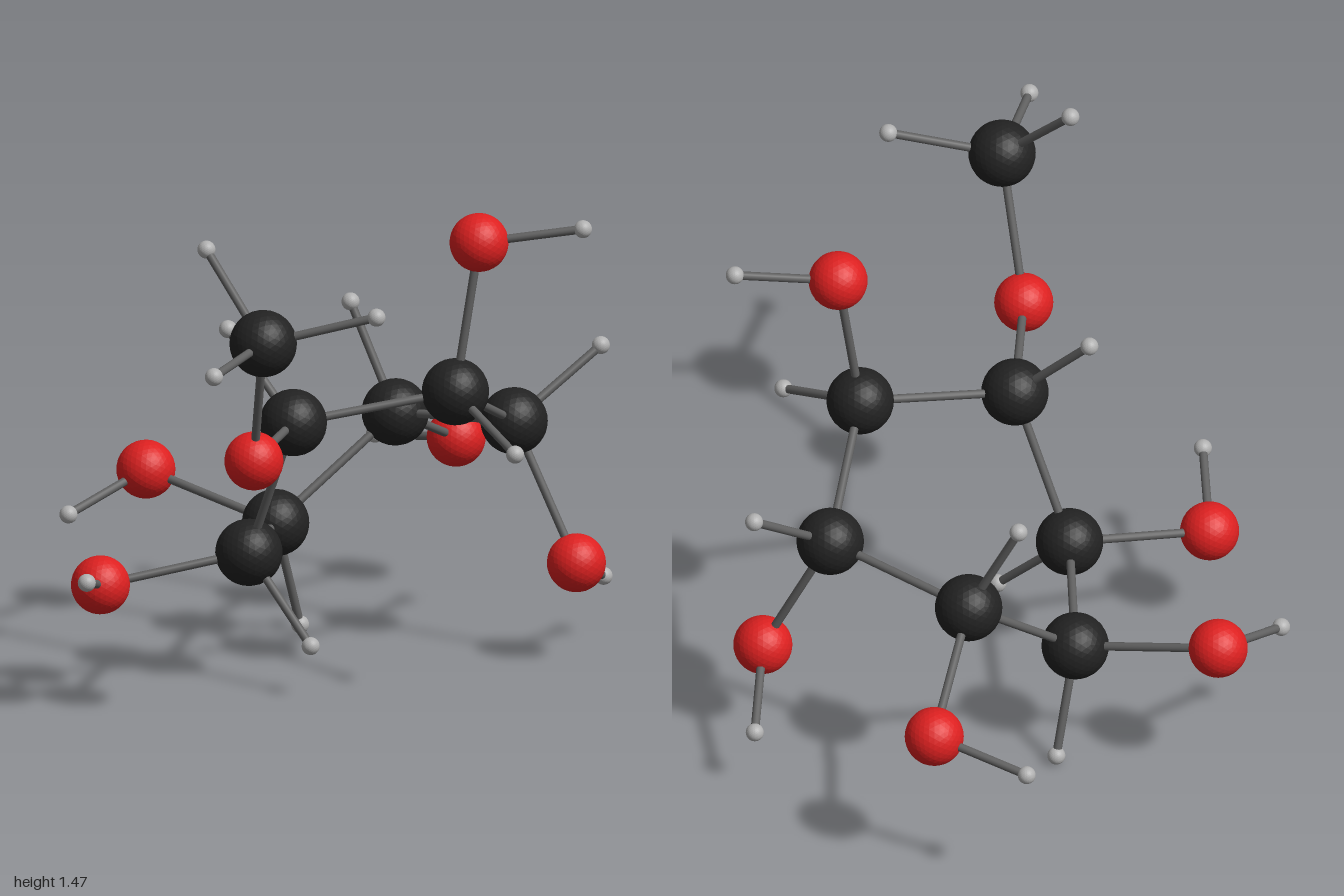
import * as THREE from 'three';

// Atom kinds: radius and colour
const KINDS = {
  carbon: { radius: 0.097, color: 0x222222 },
  oxygen: { radius: 0.085, color: 0xdd2020 },
  hydrogen: { radius: 0.026, color: 0xb0b0b0 },
};
const BOND_RADIUS = 0.0125;

// Six ring carbons in order, each with its hydrogen, its oxygen and what the oxygen carries
const RING = [
  { c: [-0.22, 0.82, 0.195], h: [-0.34, 1.057, -0.015], o: [-0.483, 0.823, 0.56], methyl: true },
  { c: [0.237, 0.895, 0.305], h: [0.3, 0.78, 0.617], o: [0.306, 1.335, 0.315], oh: [0.577, 1.38, 0.442] },
  { c: [0.54, 0.7, -0.01], h: [0.82, 0.89, -0.042], o: [0.674, 0.302, 0.14], oh: [0.845, 0.19, -0.085] },
  { c: [0.338, 0.64, -0.433], h: [0.25, 0.945, -0.562], o: [0.635, 0.465, -0.715], oh: [0.485, 0.425, -0.974] },
  { c: [-0.04, 0.353, -0.41], h: [0.053, 0.03, -0.455], o: [-0.304, 0.45, -0.76], oh: [-0.58, 0.366, -0.664] },
  { c: [-0.28, 0.39, -0.003], h: [-0.175, 0.156, 0.217], o: [-0.707, 0.315, -0.082], oh: [-0.85, 0.4, 0.178] },
];

// Methyl group: carbon and three hydrogens
const METHYL = {
  c: [-0.525, 1.222, 0.742],
  h: [[-0.61, 1.452, 0.51], [-0.236, 1.31, 0.897], [-0.768, 1.205, 0.977]],
};

export function createModel() {
  const model = new THREE.Group();
  model.name = 'molecule';

  const ball = new THREE.IcosahedronGeometry(1, 5);
  const rod = new THREE.CylinderGeometry(BOND_RADIUS, BOND_RADIUS, 1, 16);
  const bondMaterial = new THREE.MeshStandardMaterial({ color: 0x606060 });
  const materials = {};
  for (const kind in KINDS) {
    materials[kind] = new THREE.MeshStandardMaterial({ color: KINDS[kind].color, flatShading: true });
  }

  function atom(kind, name, position) {
    const mesh = new THREE.Mesh(ball, materials[kind]);
    mesh.name = name;
    mesh.position.set(...position);
    mesh.scale.setScalar(KINDS[kind].radius);
    model.add(mesh);
  }

  // A rod from one atom centre to another
  function bond(name, from, to) {
    const a = new THREE.Vector3(...from);
    const b = new THREE.Vector3(...to);
    const mesh = new THREE.Mesh(rod, bondMaterial);
    mesh.name = name;
    mesh.position.copy(a).add(b).multiplyScalar(0.5);
    mesh.scale.y = a.distanceTo(b);
    mesh.quaternion.setFromUnitVectors(new THREE.Vector3(0, 1, 0), b.sub(a).normalize());
    model.add(mesh);
  }

  // Ring with its side groups
  RING.forEach(({ c, h, o, oh, methyl }, i) => {
    const n = i + 1;
    atom('carbon', `ringCarbon${n}`, c);
    atom('hydrogen', `ringHydrogen${n}`, h);
    atom('oxygen', `oxygen${n}`, o);
    bond(`ringBond${n}`, c, RING[n % RING.length].c);
    bond(`ringHydrogenBond${n}`, c, h);
    bond(`oxygenBond${n}`, c, o);
    if (methyl) {
      bond('methylBond', o, METHYL.c);
    } else {
      atom('hydrogen', `hydroxylHydrogen${n}`, oh);
      bond(`hydroxylBond${n}`, o, oh);
    }
  });

  // Methyl group
  atom('carbon', 'methylCarbon', METHYL.c);
  METHYL.h.forEach((h, i) => {
    atom('hydrogen', `methylHydrogen${i + 1}`, h);
    bond(`methylHydrogenBond${i + 1}`, METHYL.c, h);
  });

  return model;
}
